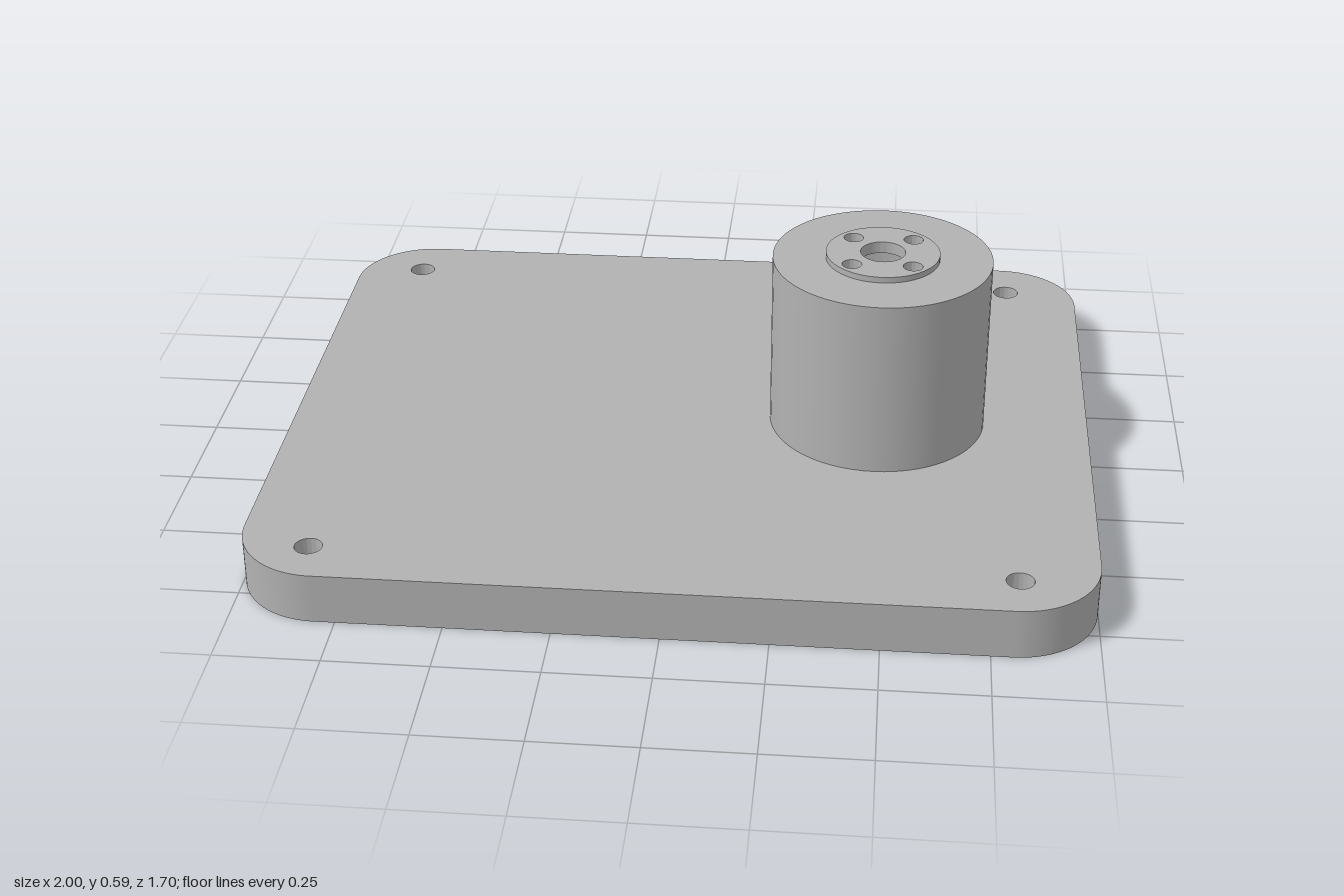
import * as THREE from 'three';
import { toCreasedNormals } from 'three/addons/utils/BufferGeometryUtils.js';

const CREASE = Math.PI / 6;

function addHole(shape, x, y, r) {
  const hole = new THREE.Path();
  hole.absarc(x, y, r, 0, Math.PI * 2, true);
  shape.holes.push(hole);
}

// Extrude a plan outline upwards; shape y becomes -z.
function slab(shape, bottom, height) {
  const geo = new THREE.ExtrudeGeometry(shape, { depth: height, bevelEnabled: false, curveSegments: 32 });
  geo.rotateX(-Math.PI / 2);
  geo.translate(0, bottom, 0);
  return toCreasedNormals(geo, CREASE);
}

export function createModel() {
  const model = new THREE.Group();
  model.name = 'mountingPlate';
  const grey = new THREE.MeshStandardMaterial({ color: 0xb2b2b2 });
  grey.name = 'grey';

  const add = (name, geo, x = 0, z = 0) => {
    const mesh = new THREE.Mesh(geo, grey);
    mesh.name = name;
    mesh.position.set(x, 0, z);
    model.add(mesh);
  };

  const W = 1, D = 0.85, R = 0.2, plateTop = 0.125;
  const bossX = 0.47, bossZ = 0.008, boreR = 0.17;

  // Base plate with rounded corners, four screw holes and the bore
  const outline = new THREE.Shape();
  outline.absarc(W - R, D - R, R, 0, Math.PI / 2);
  outline.absarc(-W + R, D - R, R, Math.PI / 2, Math.PI);
  outline.absarc(-W + R, -D + R, R, Math.PI, Math.PI * 1.5);
  outline.absarc(W - R, -D + R, R, Math.PI * 1.5, Math.PI * 2);
  outline.closePath();
  for (const x of [-0.83, 0.813])
    for (const z of [-0.715, 0.727]) addHole(outline, x, -z, 0.033);
  addHole(outline, bossX, -bossZ, boreR);
  add('basePlate', slab(outline, 0, plateTop));

  // Hollow cylindrical boss, open below
  const profile = [
    [0.27, plateTop], [0.27, 0.575], [0.14, 0.575],
    [0.14, 0.56], [boreR, 0.56], [boreR, plateTop],
  ].map(([r, y]) => new THREE.Vector2(r, y));
  add('boss', toCreasedNormals(new THREE.LatheGeometry(profile, 64), CREASE), bossX, bossZ);

  // Raised cap disc with a centre hole and four bolt holes
  const disc = new THREE.Shape();
  disc.absarc(0, 0, 0.14, 0, Math.PI * 2);
  addHole(disc, 0, 0, 0.055);
  for (const x of [-0.074, 0.074])
    for (const y of [-0.074, 0.074]) addHole(disc, x, y, 0.024);
  add('capDisc', slab(disc, 0.56, 0.03), bossX, bossZ);

  return model;
}
